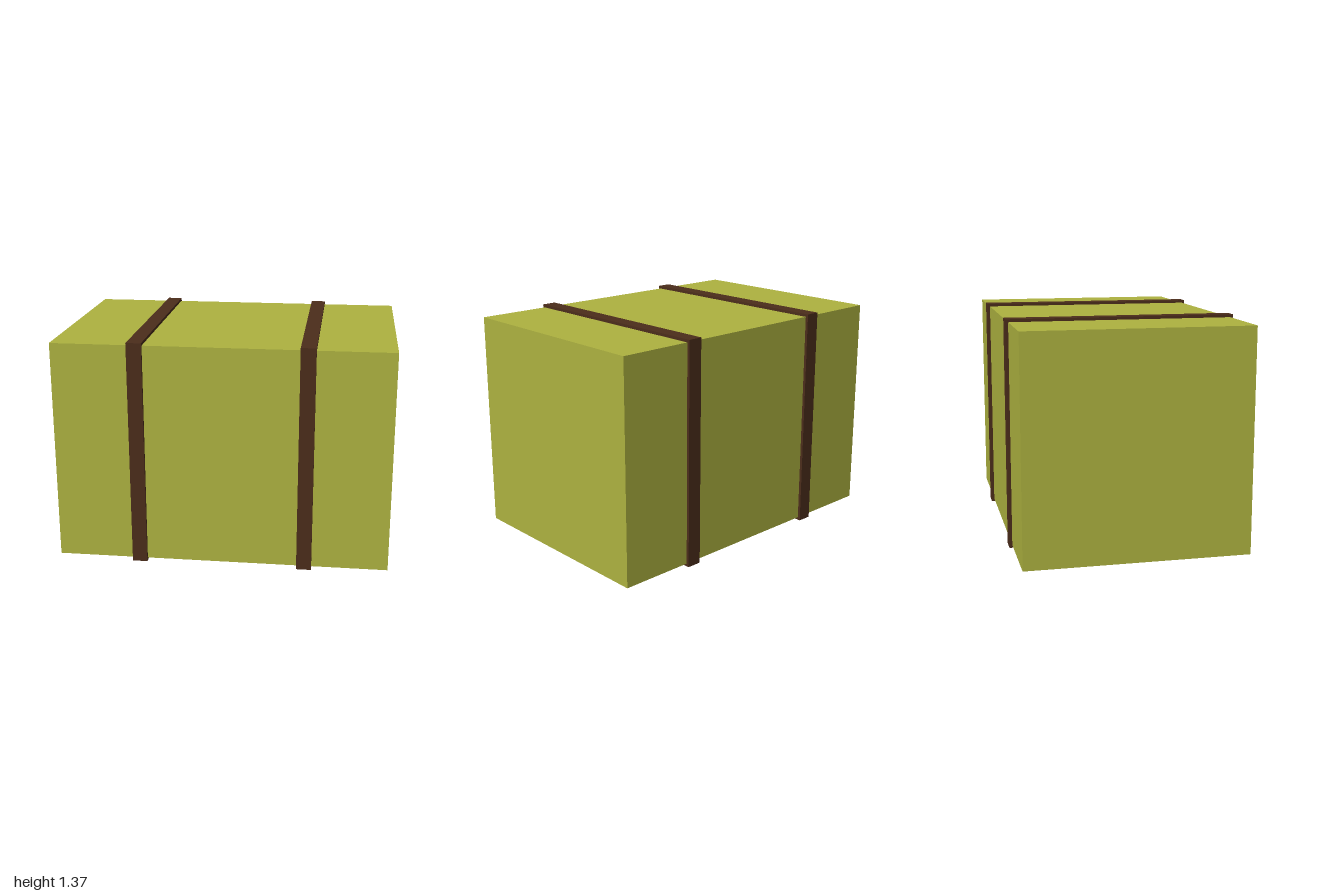
import * as THREE from 'three';

const BALE = 1.333;   // height and depth of the bale
const STRAP = 1.367;  // outer height and depth of a strap
const MID = STRAP / 2;

export function createModel() {
  const model = new THREE.Group();
  model.name = 'strappedBale';

  const baleMaterial = new THREE.MeshStandardMaterial({ color: 0xaeb340 });
  const strapMaterial = new THREE.MeshStandardMaterial({ color: 0x4c2d1b });

  const addBox = (name, width, size, x, material) => {
    const mesh = new THREE.Mesh(new THREE.BoxGeometry(width, size, size), material);
    mesh.name = name;
    mesh.position.set(x, MID, 0);
    model.add(mesh);
  };

  // Main block
  addBox('bale', 2, BALE, 0, baleMaterial);

  // Straps wrapped around the block, standing slightly proud on all four sides
  addBox('leftStrap', 0.09, STRAP, 0.5, strapMaterial);
  addBox('rightStrap', 0.09, STRAP, -0.5, strapMaterial);

  return model;
}
